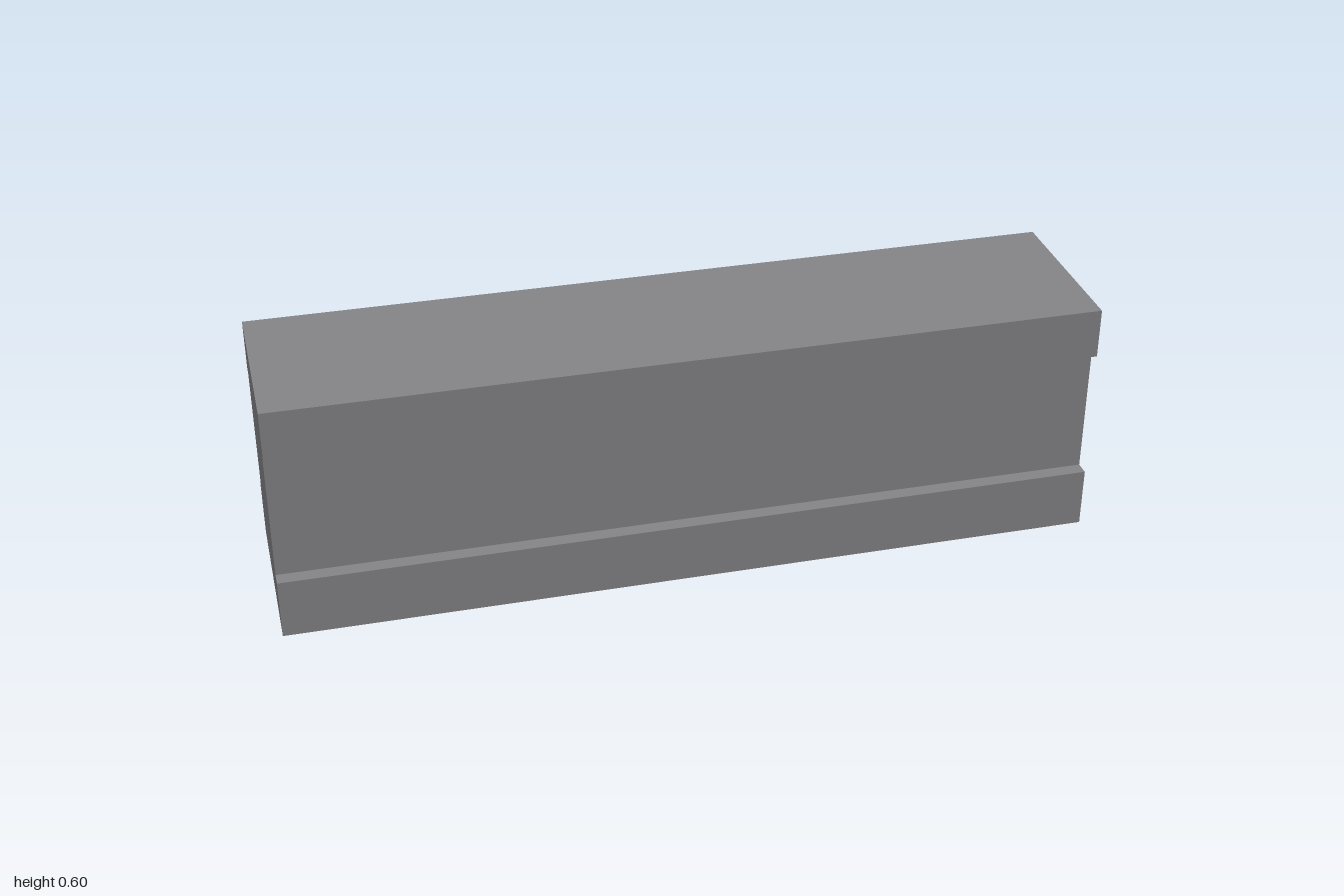
import * as THREE from 'three';

// Box shell without its underside, drawn from both sides
function openBox(name, depth, bottom, top, material) {
  const geometry = new THREE.BoxGeometry(2, top - bottom, depth);
  const index = Array.from(geometry.index.array);
  index.splice(18, 6); // remove the bottom face
  geometry.setIndex(index);
  geometry.clearGroups();
  const mesh = new THREE.Mesh(geometry, material);
  mesh.name = name;
  mesh.position.y = (bottom + top) / 2;
  return mesh;
}

export function createModel() {
  const grey = new THREE.MeshStandardMaterial({ color: 0x848487 });
  grey.name = 'concrete grey';
  grey.side = THREE.DoubleSide;

  const model = new THREE.Group();
  model.name = 'barrierWall';
  model.add(
    openBox('base', 0.452, 0, 0.15, grey),
    openBox('wall', 0.381, 0.15, 0.477, grey),
    openBox('cap', 0.441, 0.477, 0.602, grey)
  );
  return model;
}
